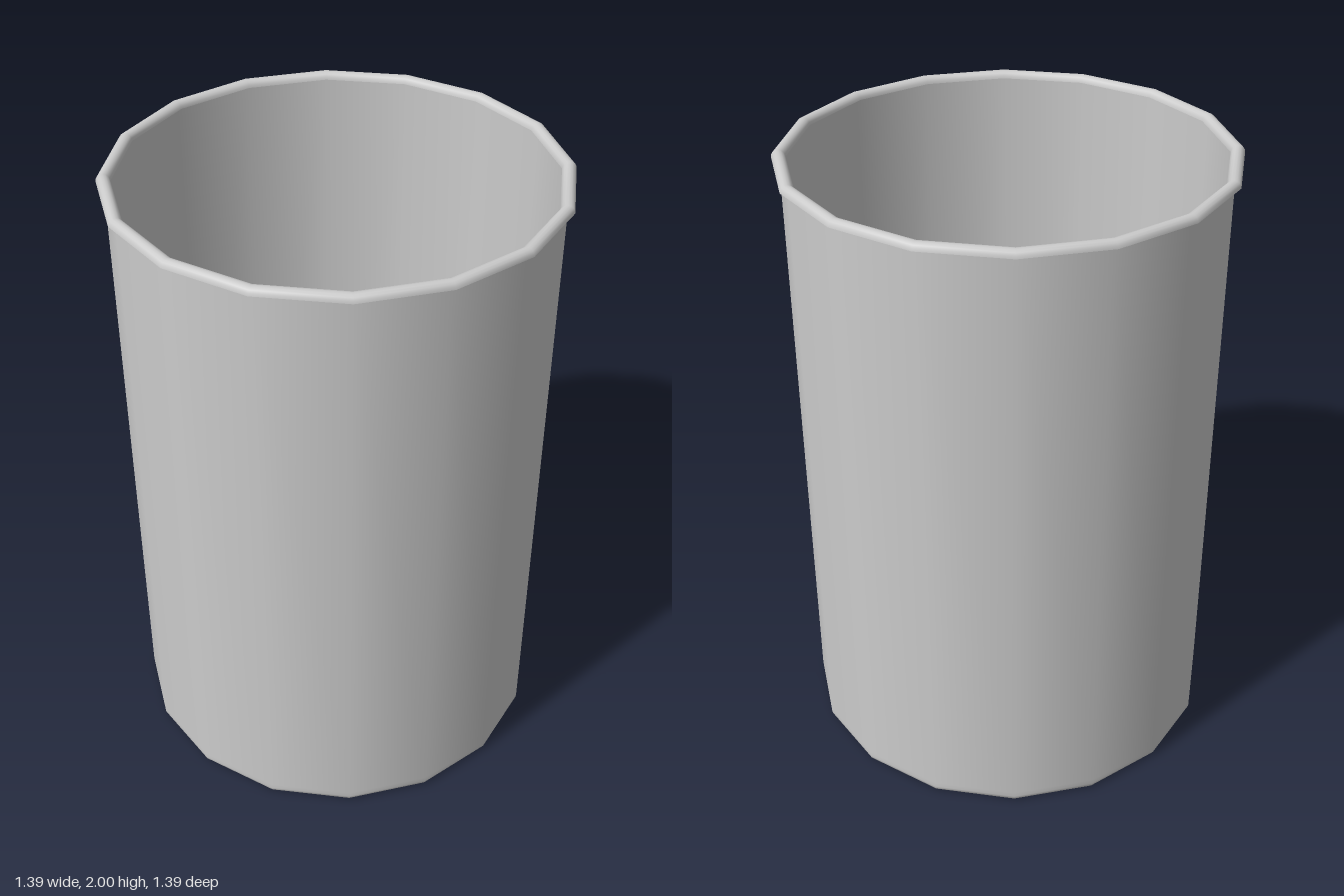
import * as THREE from 'three';

const SIDES = 16;
const material = new THREE.MeshStandardMaterial({ color: 0xcccccc, side: THREE.DoubleSide });

// Revolve a list of [radius, height] points around the y axis
function turned(name, points) {
  const profile = points.map(([r, y]) => new THREE.Vector2(r, y));
  const mesh = new THREE.Mesh(new THREE.LatheGeometry(profile, SIDES), material);
  mesh.name = name;
  return mesh;
}

export function createModel() {
  const model = new THREE.Group();
  model.name = 'can';

  const wallR = 0.676;
  const rimR = 0.0215;
  const rimY = 2 - rimR;

  // Base: raised centre disc, sloped step, flat outer ring
  model.add(turned('base', [
    [0, 0.03], [0.345, 0.03], [0.357, 0.028], [0.385, 0.006], [0.4, 0], [0.41, 0], [0.652, 0],
  ]));

  // Wall: rounded bottom corner, then straight up to the rim
  const wall = [];
  const corner = 0.024;
  for (let i = 0; i <= 4; i++) {
    const a = (i / 4) * Math.PI / 2;
    wall.push([wallR - corner + corner * Math.sin(a), corner - corner * Math.cos(a)]);
  }
  wall.push([wallR, 0.04], [wallR, rimY]);
  model.add(turned('wall', wall));

  // Rim: half-round bead over the top edge
  const bead = [];
  for (let i = 0; i <= 8; i++) {
    const a = (i / 8) * Math.PI;
    bead.push([wallR + rimR * Math.cos(a), rimY + rimR * Math.sin(a)]);
  }
  model.add(turned('rim', bead));

  // Flat underside of the bead
  model.add(turned('rimUnderside', [[wallR - rimR, rimY], [wallR + rimR, rimY]]));

  return model;
}
